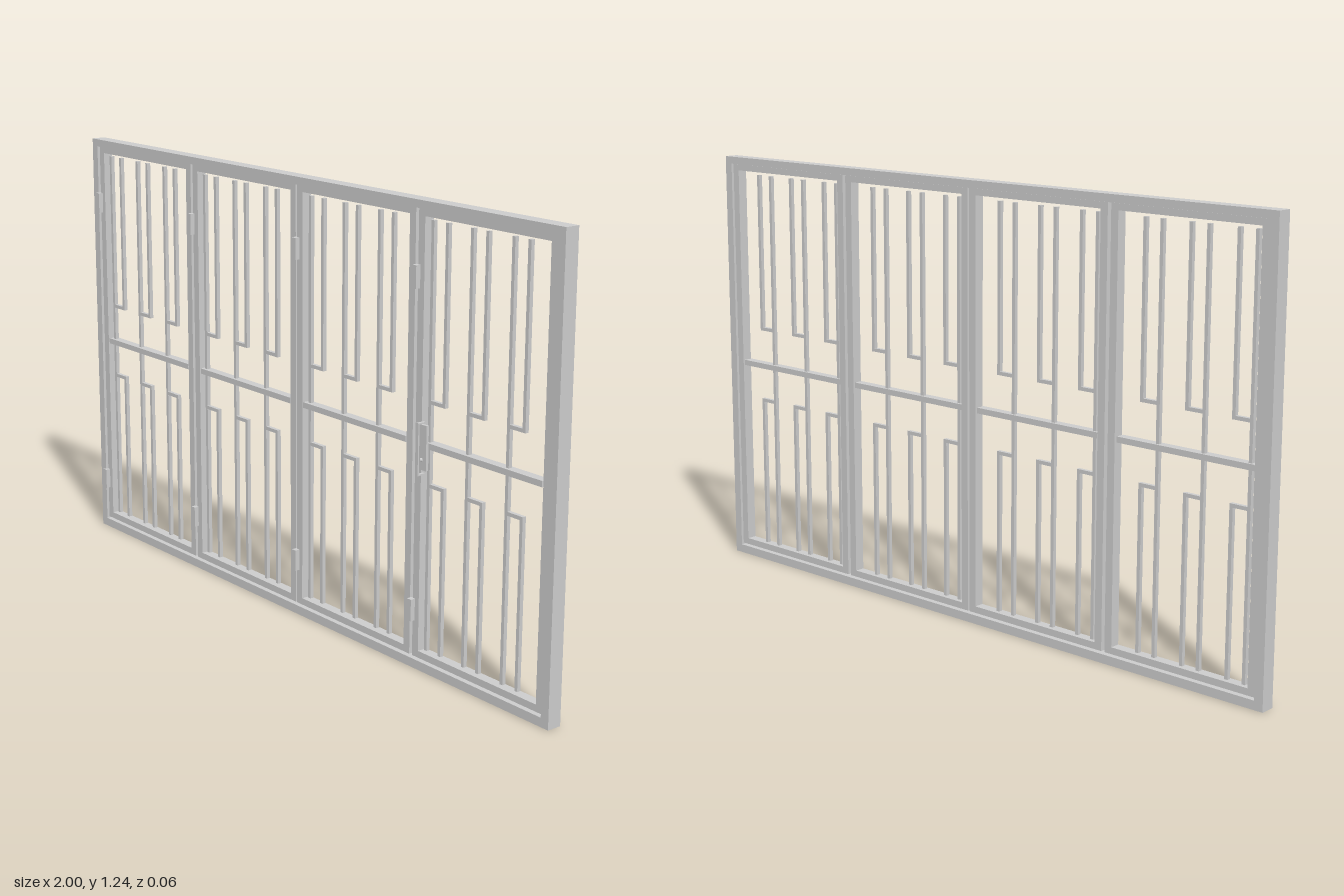
import * as THREE from 'three';

const mat = new THREE.MeshStandardMaterial({ color: 0xcccccc, flatShading: true });

// Box given by its limits on each axis
function box(parent, name, x0, x1, y0, y1, z0, z1) {
  const m = new THREE.Mesh(new THREE.BoxGeometry(x1 - x0, y1 - y0, z1 - z0), mat);
  m.position.set((x0 + x1) / 2, (y0 + y1) / 2, (z0 + z1) / 2);
  m.name = name;
  parent.add(m);
}

// Rectangular ring extruded along z
function ring(parent, name, x0, x1, y0, y1, side, bottom, top, z0, z1) {
  const rect = (P, a, b, c, d) => {
    const p = new P();
    p.moveTo(a, c); p.lineTo(b, c); p.lineTo(b, d); p.lineTo(a, d); p.closePath();
    return p;
  };
  const shape = rect(THREE.Shape, x0, x1, y0, y1);
  shape.holes.push(rect(THREE.Path, x0 + side, x1 - side, y0 + bottom, y1 - top));
  const g = new THREE.ExtrudeGeometry(shape, { depth: z1 - z0, bevelEnabled: false });
  const m = new THREE.Mesh(g, mat);
  m.position.z = z0;
  m.name = name;
  parent.add(m);
}

// One folding leaf: its frame, middle rail and three pairs of grille bars
function makeLeaf(x0, x1, firstBar) {
  const leaf = new THREE.Group();
  leaf.name = 'leaf';
  ring(leaf, 'leafFrame', x0, x1, 0.03, 1.217, 0.023, 0.019, 0.018, -0.023, 0.006);
  box(leaf, 'middleRail', x0 + 0.023, x1 - 0.03, 0.604, 0.62, -0.024, 0.003);

  const t = 0.005, zb = -0.017, zf = -0.006;
  for (let i = 0; i < 3; i++) {
    const a = firstBar + i * 0.142, b = a + 0.053;
    box(leaf, 'longBar', a - t, a + t, 0.052, 1.19, zb, zf);
    box(leaf, 'upperShortBar', b - t, b + t, 0.72, 1.19, zb, zf);
    box(leaf, 'lowerShortBar', b - t, b + t, 0.052, 0.509, zb, zf);
    box(leaf, 'upperLink', a + t, b - t, 0.72, 0.73, zb, zf);
    box(leaf, 'lowerLink', a + t, b - t, 0.499, 0.509, zb, zf);
  }
  return leaf;
}

export function createModel() {
  const model = new THREE.Group();
  model.name = 'foldingGrilleDoor';

  // Fixed outer frame
  ring(model, 'outerFrame', -1, 1, 0, 1.239, 0.026, 0.025, 0.021, -0.029, 0.013);

  // Four leaves: left edge, right edge, first bar
  const leaves = [
    [-0.972, -0.492, -0.932],
    [-0.481, -0.003, -0.443],
    [0.003, 0.481, 0.043],
    [0.492, 0.972, 0.53],
  ];
  for (const l of leaves) model.add(makeLeaf(...l));

  // Hinges, two on each joint
  for (const x of [-0.97, -0.483, 0.005, 0.492]) {
    for (const y of [0.16, 1.045]) {
      box(model, 'hinge', x - 0.008, x + 0.008, y - 0.03, y + 0.03, 0.004, 0.02);
    }
  }

  // Pull handle with its backplate and lock
  const handle = new THREE.Group();
  handle.name = 'handle';
  box(handle, 'backPlate', 0.506, 0.541, 0.548, 0.668, 0.005, 0.013);
  box(handle, 'grip', 0.52, 0.528, 0.535, 0.675, 0.025, 0.029);
  for (const y of [0.535, 0.671]) box(handle, 'gripArm', 0.52, 0.528, y, y + 0.004, 0.005, 0.025);
  const lock = new THREE.Mesh(new THREE.CylinderGeometry(0.005, 0.005, 0.008, 12), mat);
  lock.rotation.x = Math.PI / 2;
  lock.position.set(0.524, 0.575, 0.016);
  lock.name = 'lock';
  handle.add(lock);
  model.add(handle);

  return model;
}
